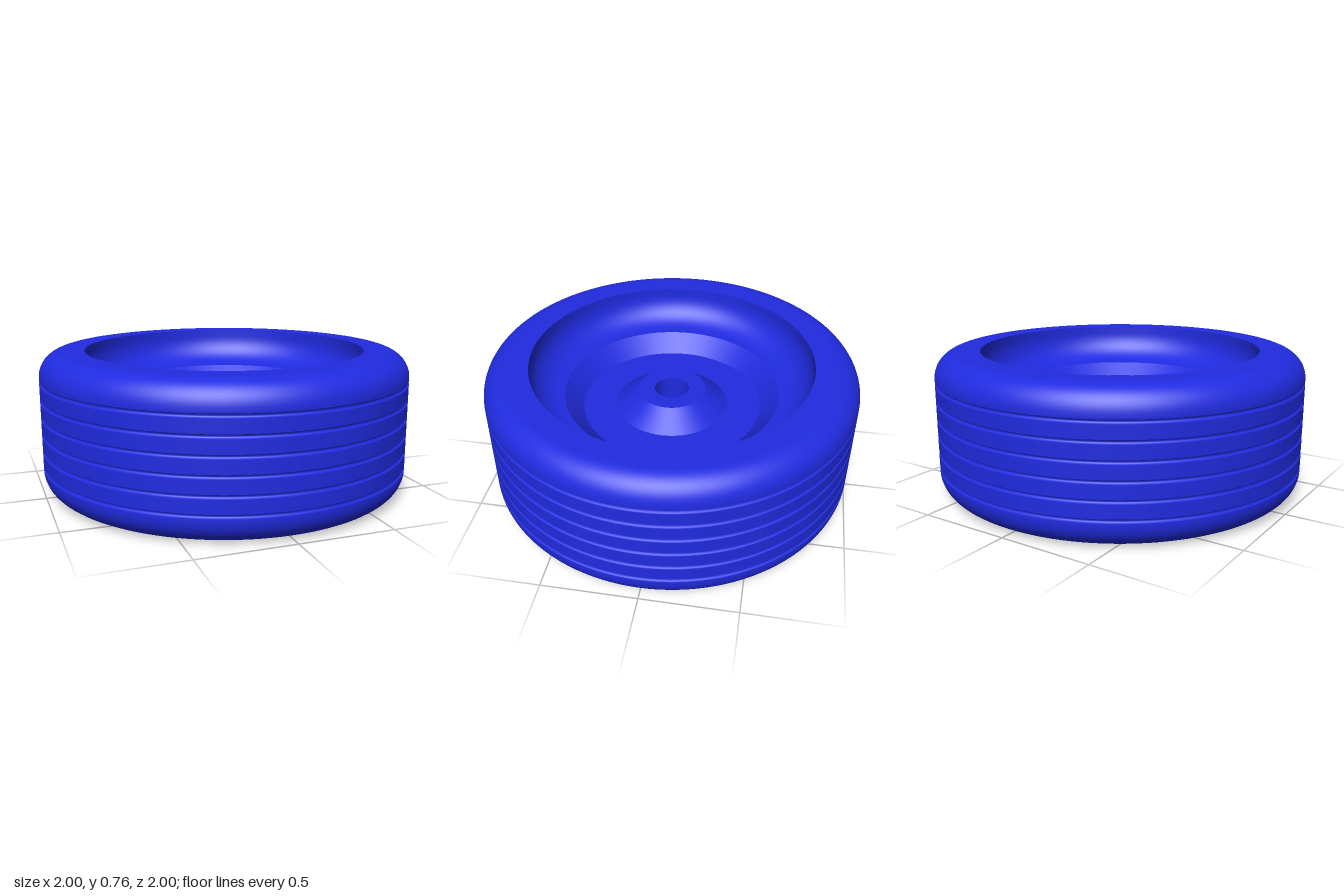
import * as THREE from 'three';

const HEIGHT = 0.76, MID = HEIGHT / 2, SEGMENTS = 128;

// Points on an arc in the (radius, height) plane
function arc(cx, cy, r, from, to, steps) {
  return Array.from({ length: steps + 1 }, (_, i) => {
    const a = from + ((to - from) * i) / steps;
    return [cx + r * Math.cos(a), cy + r * Math.sin(a)];
  });
}

export function createModel() {
  const group = new THREE.Group();
  const material = new THREE.MeshStandardMaterial({ color: 0x202be0 });

  // One smooth band of revolution; separate bands keep their shared edges crisp
  function band(name, points) {
    const profile = points.map(([r, y]) => new THREE.Vector2(r, y));
    const mesh = new THREE.Mesh(new THREE.LatheGeometry(profile, SEGMENTS), material);
    mesh.name = name;
    group.add(mesh);
  }

  // The same band on the top and, reflected, on the bottom
  function bothSides(name, points) {
    band(name + 'Top', points);
    band(name + 'Bottom', points.map(([r, y]) => [r, HEIGHT - y]).reverse());
  }

  // Tread: flat lands separated by six shallow round grooves
  const shoulder = 0.13, grooveHalf = 0.011, pitch = 0.0915;
  let y = shoulder;
  for (let i = 0; i < 6; i++) {
    const c = MID + (i - 2.5) * pitch;
    band('treadLand', [[1, y], [1, c - grooveHalf]]);
    band('treadGroove', arc(1, c, grooveHalf, -Math.PI / 2, -Math.PI * 1.5, 6));
    y = c + grooveHalf;
  }
  band('treadLand', [[1, y], [1, HEIGHT - shoulder]]);

  // Tyre shoulder and sidewall
  bothSides('shoulder', arc(1 - shoulder, HEIGHT - shoulder, shoulder, 0, Math.PI / 2, 14));
  bothSides('sidewall', [[0.87, HEIGHT], [0.757, HEIGHT]]);

  // Rim: short wall curving into a flat ledge
  bothSides('rimDish', [
    [0.757, HEIGHT],
    ...arc(0.597, 0.72, 0.16, 0, -Math.PI / 2, 14),
    [0.583, 0.56],
  ]);

  // Sloped step, recessed disc and conical hub
  bothSides('rimStep', [[0.583, 0.56], [0.485, 0.47]]);
  bothSides('wheelDisc', [[0.485, 0.47], [0.303, 0.47]]);
  bothSides('hubCone', [[0.303, 0.47], [0.183, 0.563]]);
  bothSides('hubFace', [[0.183, 0.563], [0.092, 0.563]]);

  // Axle bore through the hub
  band('axleBore', [[0.092, 0.563], [0.092, HEIGHT - 0.563]]);

  return group;
}
